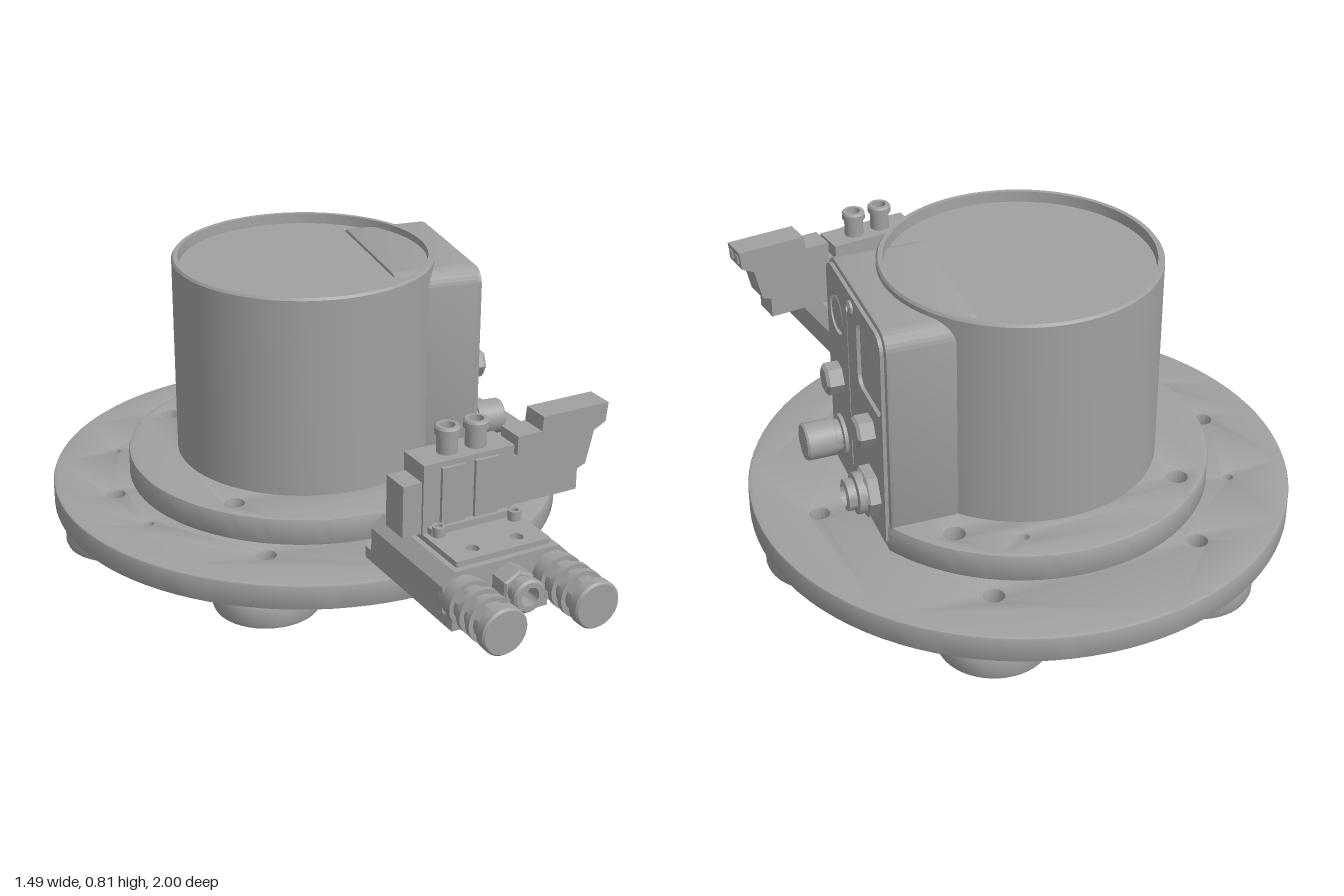
import * as THREE from 'three';
import { toCreasedNormals } from 'three/addons/utils/BufferGeometryUtils.js';

const grey = new THREE.MeshStandardMaterial({ color: 0xa0a0a0 });
grey.name = 'machined grey';

const V = (x, y) => new THREE.Vector2(x, y);

function add(parent, name, geometry, x = 0, y = 0, z = 0) {
  const mesh = new THREE.Mesh(geometry, grey);
  mesh.name = name;
  mesh.position.set(x, y, z);
  parent.add(mesh);
  return mesh;
}

// Turned part about y; points run up the outside
const turn = (pts, sides = 32) =>
  toCreasedNormals(new THREE.LatheGeometry(pts.map(p => V(p[0], p[1])), sides), 0.5);
const turnX = (pts, sides) => turn(pts, sides).rotateZ(-Math.PI / 2);
const turnZ = (pts, sides) => turn(pts, sides).rotateX(Math.PI / 2);

function extrude(shape, depth, bevel = 0) {
  return toCreasedNormals(new THREE.ExtrudeGeometry(shape, {
    depth: depth - 2 * bevel, curveSegments: 48, bevelEnabled: bevel > 0,
    bevelThickness: bevel, bevelSize: bevel, bevelOffset: -bevel, bevelSegments: 2,
  }).translate(0, 0, bevel), 0.5);
}
// Shape drawn as (x, -z), raised along y
const raise = (shape, depth, bevel) => extrude(shape, depth, bevel).rotateX(-Math.PI / 2);
// Shape drawn as (-z, y), pushed out along x
const pushX = (shape, depth, bevel) => extrude(shape, depth, bevel).rotateY(Math.PI / 2);

function circle(x, y, r, Type = THREE.Path) {
  return new Type().absarc(x, y, r, 0, Math.PI * 2, false);
}

function roundRect(x0, y0, x1, y1, rTop, rBottom, Type = THREE.Shape) {
  const s = new Type(), h = Math.PI / 2;
  s.absarc(x0 + rBottom, y0 + rBottom, rBottom, 2 * h, 3 * h, false);
  s.absarc(x1 - rBottom, y0 + rBottom, rBottom, 3 * h, 4 * h, false);
  s.absarc(x1 - rTop, y1 - rTop, rTop, 0, h, false);
  s.absarc(x0 + rTop, y1 - rTop, rTop, h, 2 * h, false);
  s.closePath();
  return s;
}

const polar = (deg, r) => [r * Math.cos(deg * Math.PI / 180), r * Math.sin(deg * Math.PI / 180)];

function buildBase() {
  const base = new THREE.Group();
  base.name = 'base';
  base.position.z = -0.255;

  // Large disc with six mounting holes and two pin holes
  const disc = circle(0, 0, 0.745, THREE.Shape);
  for (let i = 0; i < 6; i++) {
    const [x, y] = polar(2.5 + i * 60, 0.58);
    disc.holes.push(circle(x, y, 0.026));
    add(base, 'foot', turn([[0.012, 0.03], [0.012, 0], [0.135, 0], [0.146, 0.004], [0.15, 0.014],
      [0.15, 0.056], [0.146, 0.066], [0.138, 0.07], [0.1, 0.076], [0, 0.076]], 48), x, 0, -y);
  }
  for (const a of [153.4, 204]) disc.holes.push(circle(...polar(a, 0.58), 0.012));
  add(base, 'baseDisc', raise(disc, 0.075, 0.007), 0, 0.075);

  // Flange, cut flat beside the connector housing
  const a = Math.acos(0.457 / 0.52);
  const flange = new THREE.Shape().absarc(0, 0, 0.52, a, Math.PI * 2 - a, false);
  for (let i = 0; i < 4; i++) flange.holes.push(circle(...polar(47.5 + i * 90, 0.455), 0.027));
  flange.holes.push(circle(0.145, 0.41, 0.011));
  add(base, 'flange', raise(flange, 0.08, 0.007), 0, 0.148);

  // Drum with a shallow recess in its top
  add(base, 'drum', turn([[0.375, 0.22], [0.375, 0.808], [0.37, 0.815], [0.357, 0.815],
    [0.355, 0.785], [0, 0.785]], 96));
  return base;
}

function buildHousing() {
  const housing = new THREE.Group();
  housing.name = 'connectorHousing';
  add(housing, 'housingBody', pushX(roundRect(0.027, 0.15, 0.515, 0.795, 0.055, 0.005), 0.25, 0.008), 0.203);

  // Face panel: window, gauge opening and centre seam are cut through it
  const panel = roundRect(0.038, 0.168, 0.5, 0.782, 0.045, 0.012);
  panel.holes.push(
    roundRect(0.3, 0.545, 0.492, 0.735, 0.03, 0.03, THREE.Path),
    circle(0.123, 0.656, 0.058),
    roundRect(0.217, 0.24, 0.223, 0.72, 0.002, 0.002, THREE.Path));
  add(housing, 'facePanel', pushX(panel, 0.011), 0.452);
  add(housing, 'gaugeLens', turnX([[0.048, 0], [0.048, 0.007], [0.044, 0.01], [0, 0.01]]), 0.452, 0.656, -0.123);

  for (const y of [0.747, 0.192])
    add(housing, 'panelScrew', turnX([[0.02, 0], [0.02, 0.008], [0.01, 0.013], [0.01, 0.006], [0, 0.006]], 20), 0.461, y, -0.26);
  for (const z of [-0.128, -0.4])
    add(housing, 'hexCap', turnX([[0.044, 0], [0.044, 0.04], [0.036, 0.048], [0, 0.048]], 6), 0.461, 0.464, z);

  // Two round sockets of different length
  add(housing, 'longSocket', turnX([[0.058, 0], [0.058, 0.012], [0.046, 0.014], [0.046, 0.03], [0.052, 0.032],
    [0.052, 0.108], [0.048, 0.114], [0, 0.114]]), 0.461, 0.281, -0.13);
  add(housing, 'socketNut', turnX([[0.068, 0], [0.068, 0.03], [0.06, 0.036], [0, 0.036]], 6), 0.461, 0.281, -0.405);
  add(housing, 'shortSocket', turnX([[0.056, 0.02], [0.056, 0.055], [0.042, 0.058], [0.042, 0.08],
    [0.03, 0.084], [0.028, 0.06], [0, 0.06]]), 0.461, 0.281, -0.405);
  return housing;
}

function buildMuffler(x) {
  const muffler = new THREE.Group();
  muffler.name = 'muffler';
  muffler.position.set(x, 0.25, 0.15);
  // Solid ends, with rings and ribs framing the slots between them
  add(muffler, 'mufflerCore', turnZ([[0.058, 0], [0.058, 0.04], [0.064, 0.042], [0.064, 0.065], [0.052, 0.065],
    [0.052, 0.19], [0.065, 0.19], [0.065, 0.216], [0.06, 0.222], [0, 0.222]], 32));
  for (const z of [0.098, 0.14])
    add(muffler, 'mufflerRing', turnZ([[0.05, 0], [0.065, 0], [0.065, 0.016], [0.05, 0.016]], 32), 0, 0, z);
  for (let i = 0; i < 4; i++) {
    const rib = add(muffler, 'mufflerRib', new THREE.BoxGeometry(0.04, 0.06, 0.13).translate(0, 0.031, 0.128));
    rib.rotation.z = Math.PI / 4 + i * Math.PI / 2;
  }
  return muffler;
}

function buildValve() {
  const valve = new THREE.Group();
  valve.name = 'valveAssembly';
  valve.position.set(0.188, 0, 0.602);
  valve.rotation.y = THREE.MathUtils.degToRad(10);

  // Mounting bracket with two bolt holes
  const bracket = roundRect(-0.16, -0.168, 0.13, 0.3, 0.03, 0.005);
  for (const x of [-0.1, 0.06]) bracket.holes.push(circle(x, 0.257, 0.02));
  add(valve, 'bracket', raise(bracket, 0.033), 0, 0.152);

  // Manifold: chamfered body and raised top plate
  const body = new THREE.Shape([[-0.15, 0.183], [0.15, 0.183], [0.19, 0.215], [0.19, 0.285],
    [0.155, 0.32], [-0.155, 0.32], [-0.19, 0.285], [-0.19, 0.215]].map(p => V(...p)));
  add(valve, 'manifold', extrude(body, 0.36), 0, 0, -0.193);
  const plate = roundRect(-0.14, -0.15, 0.14, 0.19, 0.006, 0.006);
  for (const x of [-0.066, 0.066]) plate.holes.push(circle(x, -0.105, 0.018));
  add(valve, 'manifoldPlate', raise(plate, 0.018), 0, 0.318);

  for (const x of [-0.135, 0.135]) valve.add(buildMuffler(x));

  // Hollow supply port between the mufflers
  add(valve, 'portNut', turnZ([[0.05, 0], [0.05, 0.06], [0.044, 0.066], [0, 0.066]], 6), 0, 0.262, 0.16);
  add(valve, 'portSleeve', turnZ([[0.036, 0], [0.036, 0.03], [0.046, 0.032], [0.046, 0.046], [0.04, 0.052],
    [0.026, 0.052], [0.024, 0.01], [0, 0.01]]), 0, 0.262, 0.222);

  // Valve block with stepped left end
  add(valve, 'valveBlock', new THREE.BoxGeometry(0.27, 0.195, 0.1), -0.005, 0.4325, -0.066);
  add(valve, 'valveEnd', new THREE.BoxGeometry(0.06, 0.145, 0.085), -0.165, 0.4075, -0.066);
  add(valve, 'valveRail', new THREE.BoxGeometry(0.24, 0.02, 0.14), -0.005, 0.345, -0.066);
  for (const x of [-0.055, 0.045])
    add(valve, 'valveRidge', new THREE.BoxGeometry(0.07, 0.17, 0.012), x, 0.43, -0.012);

  // Solenoid arm with stepped outline
  const arm = new THREE.Shape([[0.125, 0.35], [0.34, 0.35], [0.34, 0.41], [0.366, 0.42], [0.388, 0.512],
    [0.424, 0.53], [0.43, 0.584], [0.226, 0.584], [0.222, 0.544], [0.148, 0.544], [0.148, 0.49],
    [0.125, 0.49]].map(p => V(...p)));
  add(valve, 'solenoidArm', extrude(arm, 0.08), 0, 0, -0.106);
  for (const z of [-0.086, -0.048])
    add(valve, 'solenoidPin', new THREE.BoxGeometry(0.012, 0.025, 0.016), 0.426, 0.558, z);

  // Push-in fittings on top
  for (const x of [-0.043, 0.043])
    add(valve, 'fitting', turn([[0.028, 0], [0.028, 0.05], [0.034, 0.053], [0.034, 0.07], [0.03, 0.076],
      [0.02, 0.076], [0.018, 0.03], [0, 0.03]], 24), x, 0.529, -0.066);

  // Clamping screws around the valve
  for (const [x, z] of [[-0.105, 0.005], [0.115, 0.02], [-0.07, -0.13], [0.07, -0.13]])
    add(valve, 'clampScrew', turn([[0.018, 0], [0.018, 0.028], [0.01, 0.028], [0.01, 0.018], [0, 0.018]], 16), x, 0.335, z);
  return valve;
}

export function createModel() {
  const model = new THREE.Group();
  model.name = 'rotaryUnit';
  model.add(buildBase(), buildHousing(), buildValve());
  return model;
}
